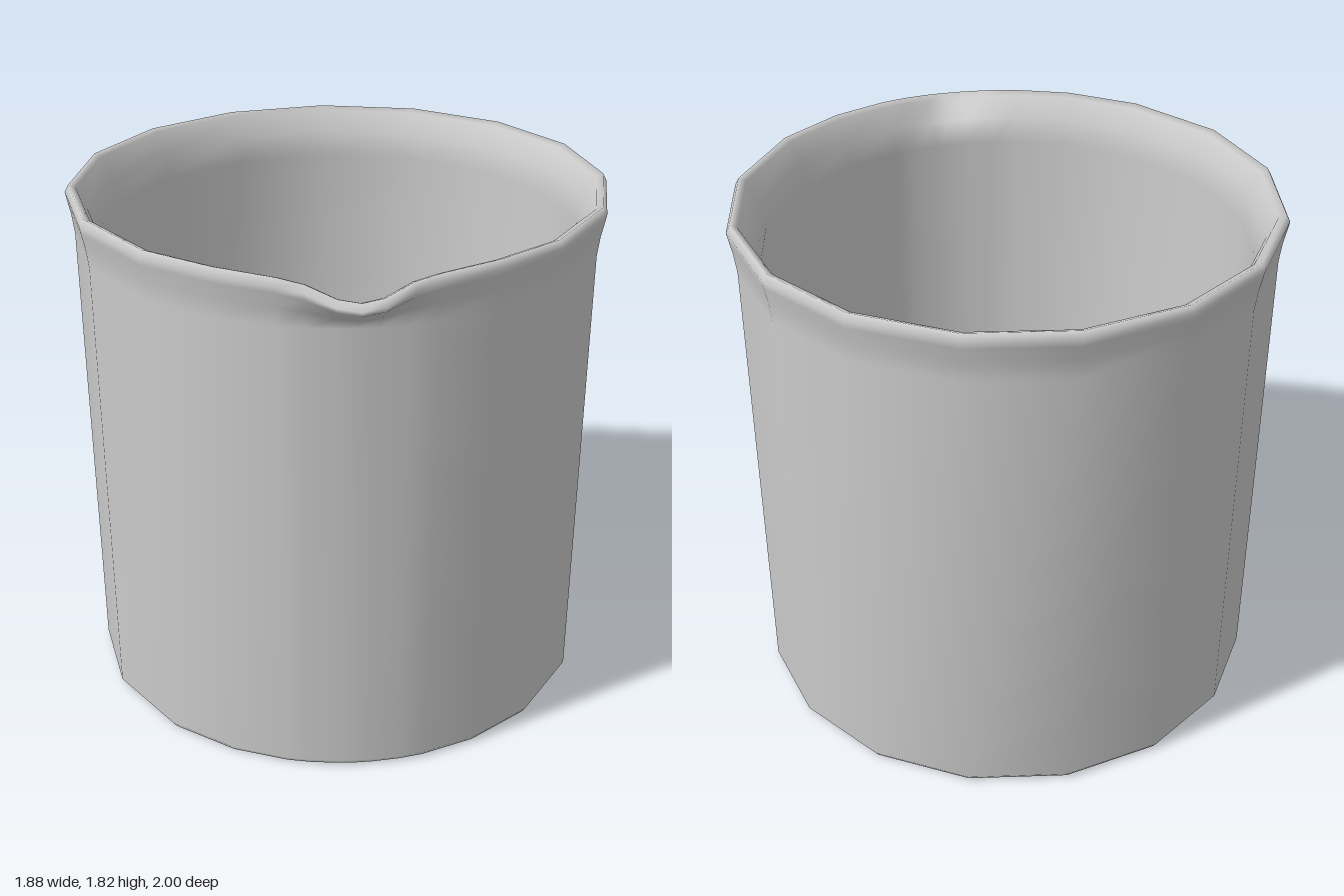
import * as THREE from 'three';

// Profile from foot, up the outside, over the lip, down the inside:
// [radius, height, spout reach, spout drop]
const PROFILE = [
  [0.875, 0, 0, 0],
  [0.89, 0.02, 0, 0],
  [0.912, 1.64, 0, 0],
  [0.921, 1.71, 0.055, 0.02],
  [0.933, 1.765, 0.115, 0.03],
  [0.938, 1.79, 0.122, 0.038],
  [0.925, 1.815, 0.105, 0.045],
  [0.9, 1.805, 0.09, 0.05],
  [0.865, 1.73, 0.06, 0.035],
  [0.84, 1.64, 0, 0],
  [0.825, 0.08, 0, 0],
  [0.79, 0.05, 0, 0],
];

// One half of the ring, in degrees from the spout, with the spout's strength;
// columns are closer together around the spout
const HALF = [[0, 1], [4, 0.85], [10, 0.32], [15.5, 0.12], [28.5, 0]];
for (let a = 45; a <= 180; a += 22.5) HALF.push([a, 0]);
const COLUMNS = [...HALF, ...HALF.slice(1, -1).reverse().map(([a, w]) => [360 - a, w])];
const CENTRE_Z = -0.06;

function ringPoints([r, y, reach, drop]) {
  return COLUMNS.map(([deg, w]) => {
    const a = THREE.MathUtils.degToRad(deg);
    const radius = r + reach * w;
    return [radius * Math.sin(a), y - drop * w, radius * Math.cos(a) + CENTRE_Z];
  });
}

function makeGeometry(points, index) {
  const geometry = new THREE.BufferGeometry();
  geometry.setAttribute('position', new THREE.Float32BufferAttribute(points.flat(), 3));
  geometry.setIndex(index);
  geometry.computeVertexNormals();
  return geometry;
}

export function createModel() {
  const group = new THREE.Group();
  group.name = 'beaker';
  const material = new THREE.MeshStandardMaterial({ color: 0xcccccc });
  const n = COLUMNS.length;

  // Wall, lip with spout, and inner floor as one smooth skin
  const points = PROFILE.flatMap(ringPoints);
  const index = [];
  for (let i = 0; i < PROFILE.length - 1; i++) {
    for (let j = 0; j < n; j++) {
      const a = i * n + j, b = i * n + (j + 1) % n;
      index.push(a, b, b + n, a, b + n, a + n);
    }
  }
  const last = (PROFILE.length - 1) * n;
  const floorCentre = points.length;
  points.push([0, 0.05, CENTRE_Z]);
  for (let j = 0; j < n; j++) index.push(last + j, last + (j + 1) % n, floorCentre);
  const vessel = new THREE.Mesh(makeGeometry(points, index), material);
  vessel.name = 'vesselWithSpout';
  group.add(vessel);

  // Flat underside with its own sharp edge
  const basePoints = [...ringPoints(PROFILE[0]), [0, 0, CENTRE_Z]];
  const baseIndex = [];
  for (let j = 0; j < n; j++) baseIndex.push((j + 1) % n, j, n);
  const base = new THREE.Mesh(makeGeometry(basePoints, baseIndex), material);
  base.name = 'underside';
  group.add(base);

  return group;
}
